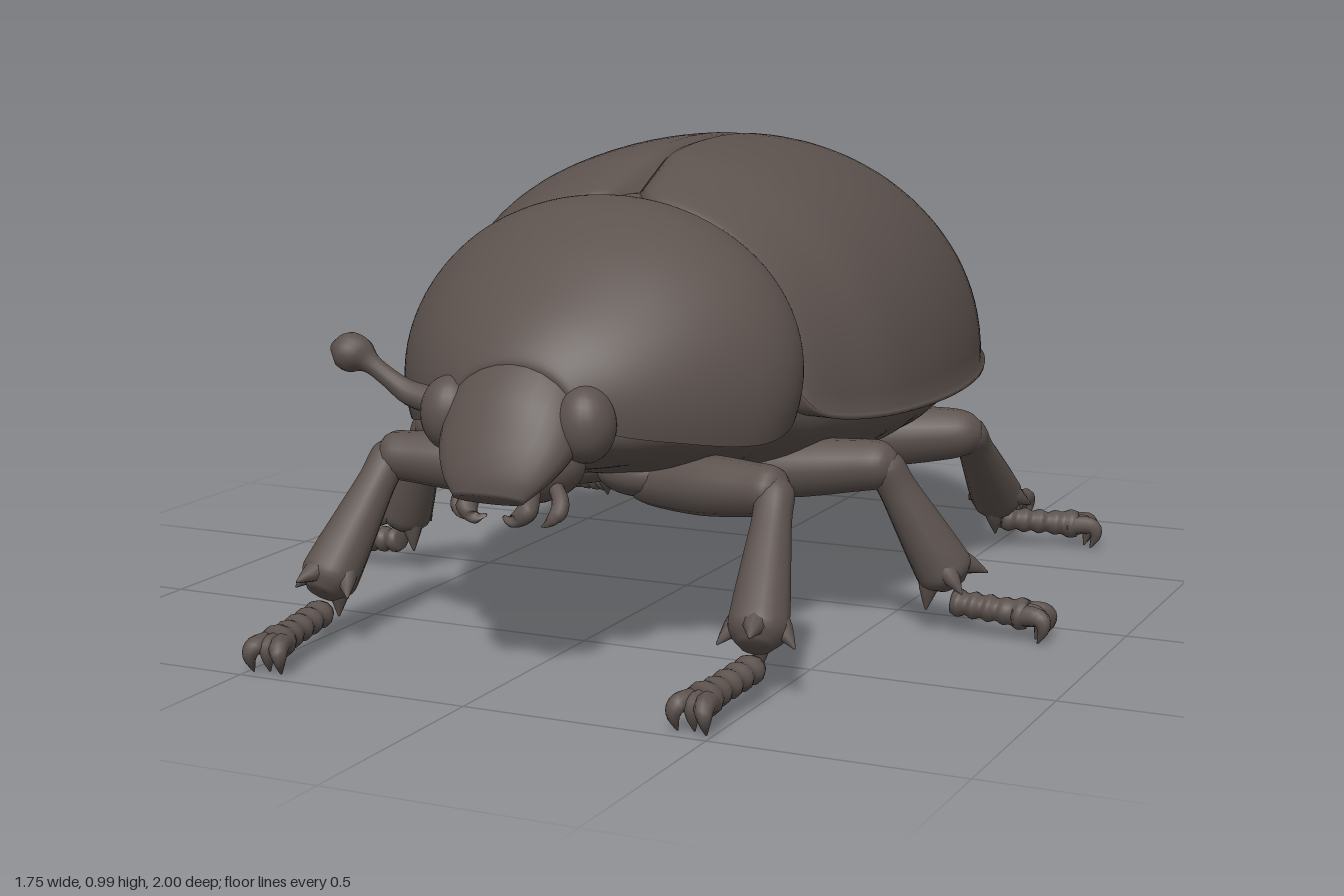
import * as THREE from 'three';
import { mergeVertices } from 'three/addons/utils/BufferGeometryUtils.js';

const shell = new THREE.MeshStandardMaterial({ color: 0x5c524e, side: THREE.DoubleSide });
shell.name = 'dark brown shell';

const V = (x, y, z) => new THREE.Vector3(x, y, z);

// Smooth interpolation through rows of numbers, t from 0 to 1
function rowsCurve(rows) {
  const n = rows.length;
  const f = new THREE.CubicInterpolant(
    Float32Array.from(rows, (_, i) => i), Float32Array.from(rows.flat()), rows[0].length);
  return t => Array.from(f.evaluate(t * (n - 1)));
}

// Grid surface from a function of (u, v)
function surface(fn, nu, nv) {
  const pos = [], idx = [];
  for (let i = 0; i <= nu; i++) for (let j = 0; j <= nv; j++) pos.push(...fn(i / nu, j / nv));
  for (let i = 0; i < nu; i++) for (let j = 0; j < nv; j++) {
    const a = i * (nv + 1) + j, b = a + nv + 1;
    idx.push(a, b, a + 1, b, b + 1, a + 1);
  }
  let g = new THREE.BufferGeometry();
  g.setAttribute('position', new THREE.Float32BufferAttribute(pos, 3));
  g.setIndex(idx);
  g = mergeVertices(g, 1e-5);
  g.computeVertexNormals();
  return g;
}

function add(parent, name, geo) {
  const m = new THREE.Mesh(geo, shell);
  m.name = name;
  parent.add(m);
  return m;
}

// Closed tube through rows [x, y, z, radius, second radius]
function tube(rows, steps = 4, sides = 14) {
  const full = rows.map(r => [r[0], r[1], r[2], r[3], r[4] ?? r[3]]);
  const at = rowsCurve(full);
  const p = t => V(...at(t).slice(0, 3));
  const axis = p(1).sub(p(0)).normalize();
  const ref = Math.abs(axis.y) > 0.95 ? V(0, 0, 1) : V(0, 1, 0);
  const A = ref.cross(axis).normalize();
  const n = (rows.length - 1) * steps;
  return surface((u, v) => {
    const k = Math.round(u * (n + 2));
    const t = THREE.MathUtils.clamp((k - 1) / n, 0, 1);
    const r = at(t), e = 0.01;
    const T = p(Math.min(1, t + e)).sub(p(Math.max(0, t - e))).normalize();
    const B = T.cross(A).normalize();
    const cap = k === 0 || k === n + 2 ? 0 : 1;
    const a = v * Math.PI * 2;
    return V(r[0], r[1], r[2]).addScaledVector(A, cap * r[3] * Math.cos(a))
      .addScaledVector(B, cap * r[4] * Math.sin(a)).toArray();
  }, n + 2, sides);
}

function ball(parent, name, x, y, z, sx, sy, sz) {
  const m = add(parent, name, new THREE.SphereGeometry(1, 24, 16));
  m.position.set(x, y, z);
  m.scale.set(sx, sy, sz);
  return m;
}

// Wing case, from the seam to under the rim; rows: z, half width, top, rim
function wingCase() {
  const at = rowsCurve([
    [0.365, 0.4, 0.895, 0.54], [0.34, 0.44, 0.915, 0.495], [0.25, 0.485, 0.947, 0.473],
    [0.1, 0.535, 0.98, 0.465], [-0.15, 0.552, 0.994, 0.46], [-0.4, 0.53, 0.974, 0.46],
    [-0.6, 0.478, 0.908, 0.464], [-0.75, 0.405, 0.818, 0.472], [-0.88, 0.3, 0.698, 0.48],
    [-0.96, 0.185, 0.59, 0.485], [-0.99, 0.1, 0.527, 0.488], [-1, 0.045, 0.496, 0.489]]);
  const arc = 30;
  return surface((u, v) => {
    const i = Math.round(u * 61), j = Math.round(v * (arc + 3));
    const [z, w, top, rim] = at(Math.max(0, i - 1) / 60);
    const a = Math.min(1, j / arc) ** 1.3 * Math.PI / 2;
    let x = w * Math.sin(a) ** 0.97;
    let y = rim + (top - rim) * Math.max(0, Math.cos(a)) ** 0.95;
    // Front border curves back toward the seam; rear tip rounds off at the seam
    const front = THREE.MathUtils.smoothstep(z, 0, 0.36);
    const rear = THREE.MathUtils.smoothstep(-z, 0.85, 1);
    const dz = rear * 0.025 * Math.exp(-((x / 0.016) ** 2))
      - front * (0.055 * (1 - x / w) ** 2 + 0.06 * Math.exp(-((x / 0.04) ** 2)));
    y -= 0.015 * Math.exp(-((x / 0.011) ** 2)) * Math.min(1, (top - rim) * 4);
    // Rim flange, then a lip running in to the underside
    if (j === arc + 1) { x += 0.01; y -= 0.005; }
    if (j === arc + 2) { x += 0.008; y -= 0.014; }
    if (j === arc + 3) { x *= 0.84; y -= 0.012; }
    if (i === 0) { x *= 0.9; y = rim + (y - rim) * 0.88; }
    return [Math.max(x, 0.0005), y, z + dz];
  }, 61, arc + 3);
}

// Neck shield; rows: z, half width, top, centre height
function neckShield() {
  const at = rowsCurve([
    [0.26, 0.36, 0.84, 0.57], [0.33, 0.405, 0.893, 0.585], [0.37, 0.428, 0.907, 0.57],
    [0.43, 0.432, 0.902, 0.55], [0.5, 0.413, 0.874, 0.535], [0.58, 0.366, 0.828, 0.53],
    [0.66, 0.304, 0.768, 0.53], [0.73, 0.233, 0.708, 0.53], [0.78, 0.16, 0.652, 0.535],
    [0.795, 0.125, 0.615, 0.54], [0.77, 0.1, 0.59, 0.54]]);
  return surface((u, v) => {
    const [z, w, top, mid] = at(u);
    const a = (v - 0.5) * 2 * 1.84;
    return [w * Math.sin(a), mid + (top - mid) * Math.cos(a), z];
  }, 48, 48);
}

// Segmented underside; rows: z, half width, lowest height
function underside() {
  const at = rowsCurve([
    [-0.975, 0.1, 0.46], [-0.93, 0.21, 0.425], [-0.83, 0.325, 0.355], [-0.6, 0.448, 0.297],
    [-0.3, 0.505, 0.27], [0, 0.505, 0.27], [0.2, 0.46, 0.3], [0.36, 0.395, 0.335],
    [0.55, 0.32, 0.37], [0.7, 0.2, 0.41], [0.78, 0.1, 0.45]]);
  return surface((u, v) => {
    const [z, w, low] = at(u);
    const a = (v - 0.5) * Math.PI;
    const ridge = 0.005 * Math.sin(z * 46 + 3 * Math.cos(a)) * Math.min(1, w * 3);
    return [w * Math.sin(a), 0.485 - (0.485 - low + ridge) * Math.max(0, Math.cos(a)) ** 0.9, z];
  }, 110, 40);
}

// Jointed foot from ankle to a broad tip, ending in hooked claws
function foot(parent, from, to) {
  const rows = [];
  for (let i = 0; i <= 10; i++) {
    const p = from.clone().lerp(to, i / 10);
    const r = i > 7 ? [0.03, 0.038, 0.034][i - 8] : i % 2 ? 0.033 : 0.026;
    rows.push([p.x, p.y, p.z, r, r * 0.9]);
  }
  add(parent, 'foot', tube(rows, 3, 12));
  const d = to.clone().sub(from).setY(0).normalize();
  const s = V(d.z, 0, -d.x);
  for (const k of [-1, 0, 1]) {
    const reach = k ? 0.04 : 0.025;
    const pt = (f, side, y, r) => {
      const q = to.clone().addScaledVector(d, f).addScaledVector(s, side * k);
      return [q.x, y, q.z, r];
    };
    add(parent, 'claw', tube([pt(-0.02, 0.012, to.y, 0.024), pt(reach * 0.7, 0.026, to.y + 0.002, 0.02),
      pt(reach, 0.032, to.y - 0.018, 0.014), pt(reach * 0.7, 0.03, 0.002, 0.002)], 4, 8));
  }
}

// Leg: thigh from hip to knee, flared spurred shin, one or more feet
function leg(name, { hip, knee, ankle, feet, thick }) {
  const g = new THREE.Group();
  g.name = name;
  const run = (a, b, list) => list.map(([t, r]) => [...a.clone().lerp(b, t).toArray(), r]);
  add(g, 'thigh', tube(run(hip, knee, [[0, 0.03], [0.12, thick * 0.9], [0.5, thick * 1.1],
    [0.85, thick * 0.96], [1, 0.048], [1.07, 0.022]])));
  add(g, 'shin', tube(run(knee, ankle, [[-0.1, 0.015], [0, 0.039], [0.2, 0.04], [0.5, 0.049],
    [0.8, 0.058], [0.95, 0.058], [1.05, 0.03]])));
  // Spurs around the end of the shin
  const dir = ankle.clone().sub(knee).normalize();
  const out = V(0, 1, 0).cross(dir).normalize(), up = dir.clone().cross(out);
  const spurs = [[1, 0, 0.85], [-1, 0, 0.85], [0, 1, 0.9], [0, -1, 0.9]];
  for (const [a, b, t] of spurs) {
    const side = out.clone().multiplyScalar(a).addScaledVector(up, b);
    const base = knee.clone().lerp(ankle, t).addScaledVector(side, 0.025);
    const mid = base.clone().addScaledVector(side, 0.025).addScaledVector(dir, 0.025);
    const tip = base.clone().addScaledVector(side, 0.05).addScaledVector(dir, 0.06);
    add(g, 'spur', tube([[...base, 0.032], [...mid, 0.02], [...tip, 0.002]], 2, 8));
  }
  for (const f of feet) foot(g, ankle.clone().lerp(f, 0.04).setY(0.066), f);
  return g;
}

export function createModel() {
  const model = new THREE.Group();
  model.name = 'beetle';

  add(model, 'neckShield', neckShield());
  add(model, 'underside', underside());
  ball(model, 'scutellum', 0, 0.868, 0.25, 0.06, 0.03, 0.08);

  // Head, sloping down to a flat front plate
  add(model, 'head', tube([[0, 0.6, 0.66, 0.1, 0.07], [0, 0.56, 0.71, 0.145, 0.1],
    [0, 0.51, 0.775, 0.15, 0.09], [0, 0.455, 0.832, 0.138, 0.065],
    [0, 0.41, 0.872, 0.11, 0.042], [0, 0.375, 0.895, 0.075, 0.02]], 6, 28));
  ball(model, 'throat', 0, 0.42, 0.74, 0.12, 0.08, 0.1);

  // Single clubbed antenna
  add(model, 'antenna', tube([[-0.12, 0.5, 0.77, 0.03], [-0.19, 0.525, 0.755, 0.028],
    [-0.25, 0.54, 0.755, 0.025], [-0.29, 0.565, 0.76, 0.02], [-0.33, 0.595, 0.768, 0.021],
    [-0.355, 0.61, 0.772, 0.037], [-0.385, 0.62, 0.776, 0.037], [-0.41, 0.625, 0.778, 0.012]]));

  const legs = {
    frontLeg: { hip: V(0.1, 0.345, 0.47), knee: V(0.435, 0.36, 0.53), ankle: V(0.48, 0.115, 0.725),
      feet: [V(0.46, 0.052, 0.94)], thick: 0.056 },
    middleLeg: { hip: V(0.12, 0.32, 0.25), knee: V(0.535, 0.36, 0.195), ankle: V(0.655, 0.115, 0.12),
      feet: [V(0.82, 0.052, 0.105)], thick: 0.057 },
    hindLeg: { hip: V(0.1, 0.29, -0.28), knee: V(0.52, 0.32, -0.395), ankle: V(0.51, 0.11, -0.66),
      feet: [V(0.462, 0.052, -0.935), V(0.68, 0.052, -0.735)], thick: 0.063 },
  };

  for (const side of [1, -1]) {
    const half = new THREE.Group();
    half.name = side > 0 ? 'leftSide' : 'rightSide';
    half.scale.x = side;
    add(half, 'wingCase', wingCase());
    ball(half, 'eye', 0.147, 0.512, 0.775, 0.06, 0.075, 0.06);
    // Curved jaw and feeler below the front plate
    add(half, 'jaw', tube([[0.05, 0.39, 0.82, 0.025], [0.065, 0.355, 0.86, 0.022],
      [0.045, 0.335, 0.875, 0.014], [0.02, 0.34, 0.87, 0.004]], 4, 10));
    add(half, 'feeler', tube([[0.07, 0.4, 0.77, 0.018], [0.105, 0.365, 0.8, 0.017],
      [0.105, 0.335, 0.82, 0.018], [0.085, 0.318, 0.825, 0.008]], 4, 10));
    // Hip plates
    ball(half, 'hindHip', 0.17, 0.29, -0.3, 0.19, 0.058, 0.09);
    ball(half, 'middleHip', 0.15, 0.32, 0.24, 0.12, 0.05, 0.08);
    ball(half, 'frontHip', 0.12, 0.36, 0.47, 0.1, 0.05, 0.07);
    for (const [name, spec] of Object.entries(legs)) half.add(leg(name, spec));
    model.add(half);
  }
  return model;
}
